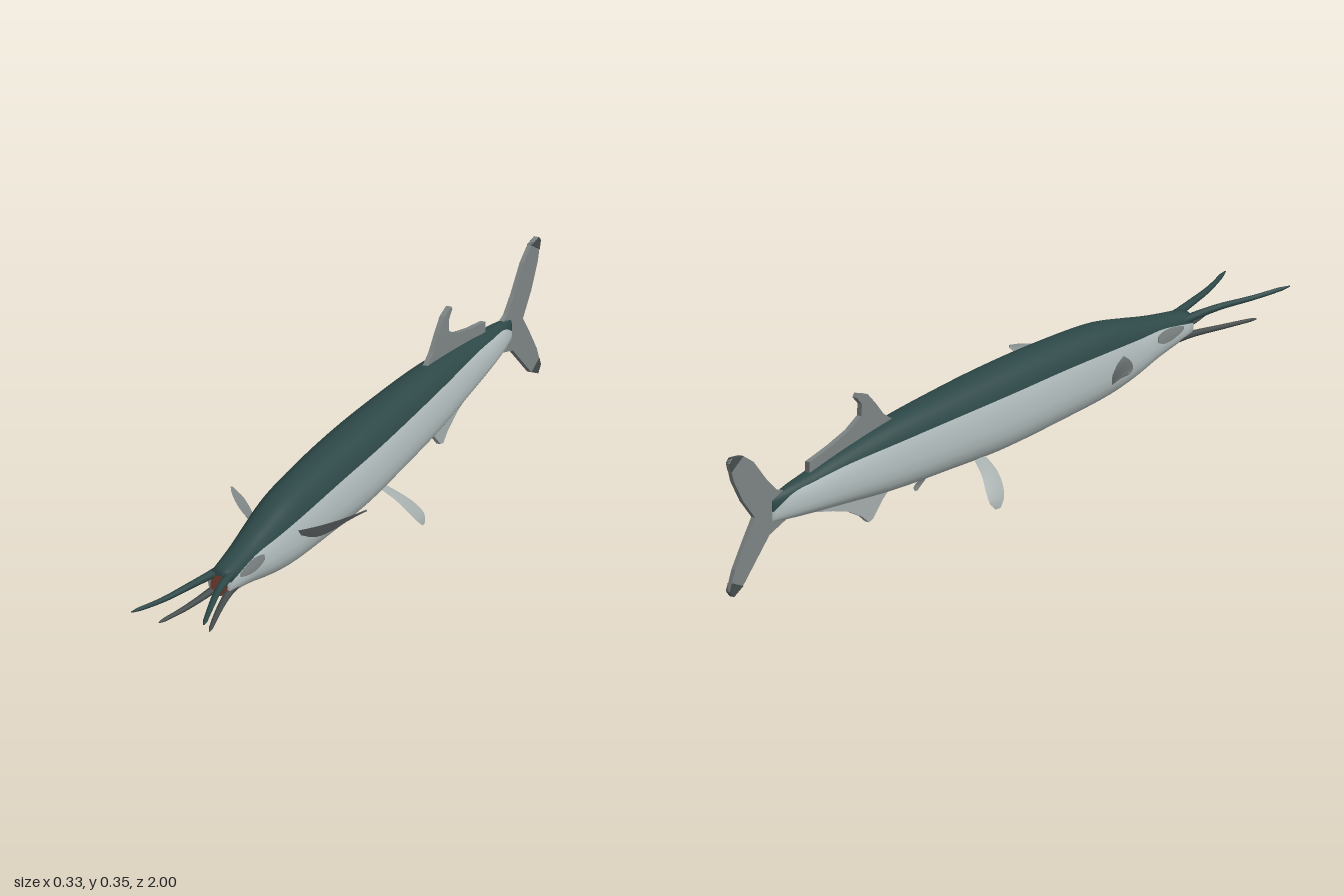
import * as THREE from 'three';
import { toCreasedNormals } from 'three/addons/utils/BufferGeometryUtils.js';

const V = (x, y, z) => new THREE.Vector3(x, y, z);
const mat = (name, color) => {
  const m = new THREE.MeshStandardMaterial({ color });
  m.name = name;
  return m;
};

// Closed skin through rings of points (counter-clockwise about the direction
// of travel). Columns before `split` use material 0, the rest material 1.
function loft(rings, split = rings[0].length) {
  const n = rings[0].length, pos = [], parts = [[], []];
  rings.forEach(r => r.forEach(p => pos.push(p.x, p.y, p.z)));
  const caps = [rings[0], rings[rings.length - 1]].map(r => {
    const c = r.reduce((s, p) => s.add(p), V(0, 0, 0)).divideScalar(n);
    pos.push(c.x, c.y, c.z);
    return pos.length / 3 - 1;
  });
  for (let j = 0; j < n; j++) {
    const k = (j + 1) % n, out = parts[j < split ? 0 : 1];
    for (let i = 0; i < rings.length - 1; i++) {
      const a = i * n + j, b = i * n + k, c = a + n, d = b + n;
      out.push(a, b, c, b, d, c);
    }
    const e = (rings.length - 1) * n;
    out.push(caps[0], k, j, caps[1], e + j, e + k);
  }
  const g = new THREE.BufferGeometry();
  g.setAttribute('position', new THREE.Float32BufferAttribute(pos, 3));
  g.setIndex([...parts[0], ...parts[1]]);
  if (parts[1].length) {
    g.addGroup(0, parts[0].length, 0);
    g.addGroup(parts[0].length, parts[1].length, 1);
  }
  g.computeVertexNormals();
  return g;
}

const mirrorRings = rings => rings.map(r => r.map(p => V(-p.x, p.y, p.z)).reverse());

// Body stations from tail to snout: z, belly, colour line, back, half width
const stations = [
  [-0.84, 0.145, 0.17, 0.2, 0.008], [-0.78, 0.137, 0.198, 0.212, 0.02],
  [-0.7, 0.128, 0.207, 0.222, 0.029], [-0.6, 0.118, 0.215, 0.237, 0.037],
  [-0.4, 0.098, 0.22, 0.26, 0.05], [-0.2, 0.088, 0.222, 0.27, 0.059],
  [0, 0.08, 0.222, 0.275, 0.064], [0.2, 0.084, 0.22, 0.273, 0.062],
  [0.4, 0.092, 0.212, 0.262, 0.055], [0.5, 0.105, 0.205, 0.243, 0.047],
  [0.6, 0.125, 0.198, 0.222, 0.037], [0.72, 0.143, 0.178, 0.203, 0.028],
];
const lowCurve = new THREE.CatmullRomCurve3(stations.map(s => V(s[0], s[1], s[2])));
const highCurve = new THREE.CatmullRomCurve3(stations.map(s => V(s[0], s[3], s[4])));
const POWER = 0.85; // slightly boxy oval
const bend = v => Math.sign(v) * Math.abs(v) ** POWER;

function section(t) {
  const a = lowCurve.getPoint(t), b = highCurve.getPoint(t);
  const yc = (a.y + b.y) / 2, h = (b.y - a.y) / 2;
  const f = (a.z - yc) / h;
  return {
    line: Math.asin(Math.sign(f) * Math.abs(f) ** (1 / POWER)),
    at: (ang, s = 1) => V(b.z * s * bend(Math.cos(ang)), yc + h * s * bend(Math.sin(ang)), a.x),
  };
}

function bodyRings(steps, half) {
  return Array.from({ length: steps + 1 }, (_, i) => {
    const s = section(i / steps), up = Math.PI - 2 * s.line, ring = [];
    for (let j = 0; j < half; j++) ring.push(s.at(s.line + up * j / half));
    for (let j = 0; j < half; j++) ring.push(s.at(s.line + up + (2 * Math.PI - up) * j / half));
    return ring;
  });
}

// Thin plate lying on the left flank
function patchRings(z0, z1, a0, a1) {
  return Array.from({ length: 9 }, (_, i) => {
    const s = section((z0 + (z1 - z0) * i / 8) / (stations.length - 1));
    const w = 0.35 + 0.65 * Math.sin(Math.PI * i / 8), m = (a0 + a1) / 2, r = (a1 - a0) / 2 * w;
    const angles = [-1, -0.5, 0, 0.5, 1].map(k => m + r * k);
    return [...angles.map(a => s.at(a, 1.03)), ...angles.reverse().map(a => s.at(a, 0.96))];
  });
}

// Tapering prong running forward along a curve
function prongRings(points, r0) {
  const curve = new THREE.CatmullRomCurve3(points.map(p => V(...p)));
  return Array.from({ length: 17 }, (_, i) => {
    const t = i / 16, c = curve.getPoint(t), r = r0 * (1 - 0.6 * t) * (i === 16 ? 0.4 : 1);
    return Array.from({ length: 8 }, (_, j) => {
      const a = j / 8 * Math.PI * 2;
      return V(c.x + r * Math.cos(a), c.y + r * 0.8 * Math.sin(a), c.z);
    });
  });
}

// Lens-shaped blade between a leading and a trailing edge
function bladeRings(lead, trail, thick) {
  const A = new THREE.CatmullRomCurve3(lead.map(p => V(...p)));
  const B = new THREE.CatmullRomCurve3(trail.map(p => V(...p)));
  const mid = t => A.getPoint(t).lerp(B.getPoint(t), 0.5);
  return Array.from({ length: 13 }, (_, i) => {
    const t = i / 12, l = A.getPoint(t), b = B.getPoint(t), m = mid(t);
    const d = mid(Math.min(1, t + 0.05)).sub(mid(Math.max(0, t - 0.05)));
    const n = d.cross(l.clone().sub(b)).normalize().multiplyScalar(thick * (1 - 0.6 * t));
    return [l, m.clone().add(n), b, m.clone().sub(n)];
  });
}

// Upright fin on the centre line, outlined in (z, y)
function uprightFin(points, thick) {
  const shape = new THREE.Shape(points.map(p => new THREE.Vector2(...p)));
  const g = new THREE.ExtrudeGeometry(shape, { depth: thick, bevelEnabled: false });
  return g.translate(0, 0, -thick / 2).rotateY(-Math.PI / 2);
}

export function createModel() {
  const model = new THREE.Group();
  const teal = mat('dark teal back', 0x2d4747);
  const pale = mat('pale belly', 0xb6c1c1);
  const grey = mat('fin grey', 0x7d8484);
  const dark = mat('dark grey', 0x454c4c);
  const silver = mat('light fin', 0xa3acab);
  const red = mat('mouth red', 0x854a3a);
  const add = (name, geo, material) => {
    const m = new THREE.Mesh(geo, material);
    m.name = name;
    model.add(m);
  };
  const pair = (name, rings, material, crease) => {
    [['left', rings], ['right', mirrorRings(rings)]].forEach(([side, r]) => {
      const g = loft(r);
      add(side + name, crease ? toCreasedNormals(g, 0.6) : g, material);
    });
  };

  // Body and head
  add('body', loft(bodyRings(66, 14), 14), [teal, pale]);
  pair('Cheek', patchRings(9.7, 10.65, -0.15, 0.4), grey, true);
  add('mouth', new THREE.CircleGeometry(0.021, 20).scale(1, 1.15, 1).translate(0, 0.167, 0.724), red);

  // Split jaws
  pair('UpperJaw', prongRings([[0.014, 0.184, 0.64], [0.02, 0.189, 0.72], [0.035, 0.192, 0.81],
    [0.057, 0.191, 0.9], [0.086, 0.196, 1]], 0.013), teal);
  pair('LowerJaw', prongRings([[0.013, 0.152, 0.64], [0.02, 0.15, 0.72], [0.038, 0.144, 0.82],
    [0.06, 0.141, 0.91]], 0.012), dark);

  // Paired fins
  pair('PectoralFin', bladeRings(
    [[0.045, 0.188, 0.425], [0.08, 0.194, 0.4], [0.115, 0.2, 0.365], [0.15, 0.207, 0.318], [0.163, 0.208, 0.293]],
    [[0.045, 0.165, 0.39], [0.068, 0.152, 0.355], [0.092, 0.158, 0.322], [0.13, 0.185, 0.292], [0.158, 0.204, 0.286]],
    0.005), grey, true);
  pair('PelvicFin', bladeRings(
    [[0.03, 0.095, -0.075], [0.065, 0.072, -0.08], [0.09, 0.045, -0.09], [0.105, 0.02, -0.105], [0.11, 0.002, -0.125]],
    [[0.03, 0.09, -0.11], [0.062, 0.066, -0.128], [0.086, 0.04, -0.147], [0.102, 0.017, -0.154], [0.108, 0.002, -0.142]],
    0.005), silver, true);

  // Upright fins
  add('dorsalFin', uprightFin([[-0.38, 0.255], [-0.42, 0.28], [-0.45, 0.313], [-0.48, 0.342], [-0.515, 0.353],
    [-0.522, 0.345], [-0.502, 0.325], [-0.505, 0.298], [-0.55, 0.277], [-0.62, 0.26], [-0.7, 0.246],
    [-0.7, 0.215], [-0.5, 0.235]], 0.012), grey);
  add('analFin', uprightFin([[-0.38, 0.11], [-0.42, 0.085], [-0.46, 0.048], [-0.475, 0.045], [-0.5, 0.065],
    [-0.55, 0.09], [-0.61, 0.108], [-0.68, 0.125], [-0.62, 0.14]], 0.01), silver);
  add('tailFin', uprightFin([[-0.77, 0.2], [-0.82, 0.215], [-0.86, 0.25], [-0.91, 0.305], [-0.95, 0.33],
    [-0.99, 0.335], [-1, 0.325], [-0.985, 0.28], [-0.95, 0.225], [-0.905, 0.175], [-0.94, 0.13],
    [-0.98, 0.075], [-1, 0.03], [-0.985, 0.014], [-0.95, 0.03], [-0.9, 0.075], [-0.85, 0.12], [-0.77, 0.143]],
  0.01), grey);
  add('upperTailTip', uprightFin([[-0.95, 0.33], [-0.99, 0.335], [-1, 0.325], [-0.993, 0.305]], 0.012), dark);
  add('lowerTailTip', uprightFin([[-0.992, 0.048], [-1, 0.03], [-0.985, 0.014], [-0.95, 0.03]], 0.012), dark);

  return model;
}
